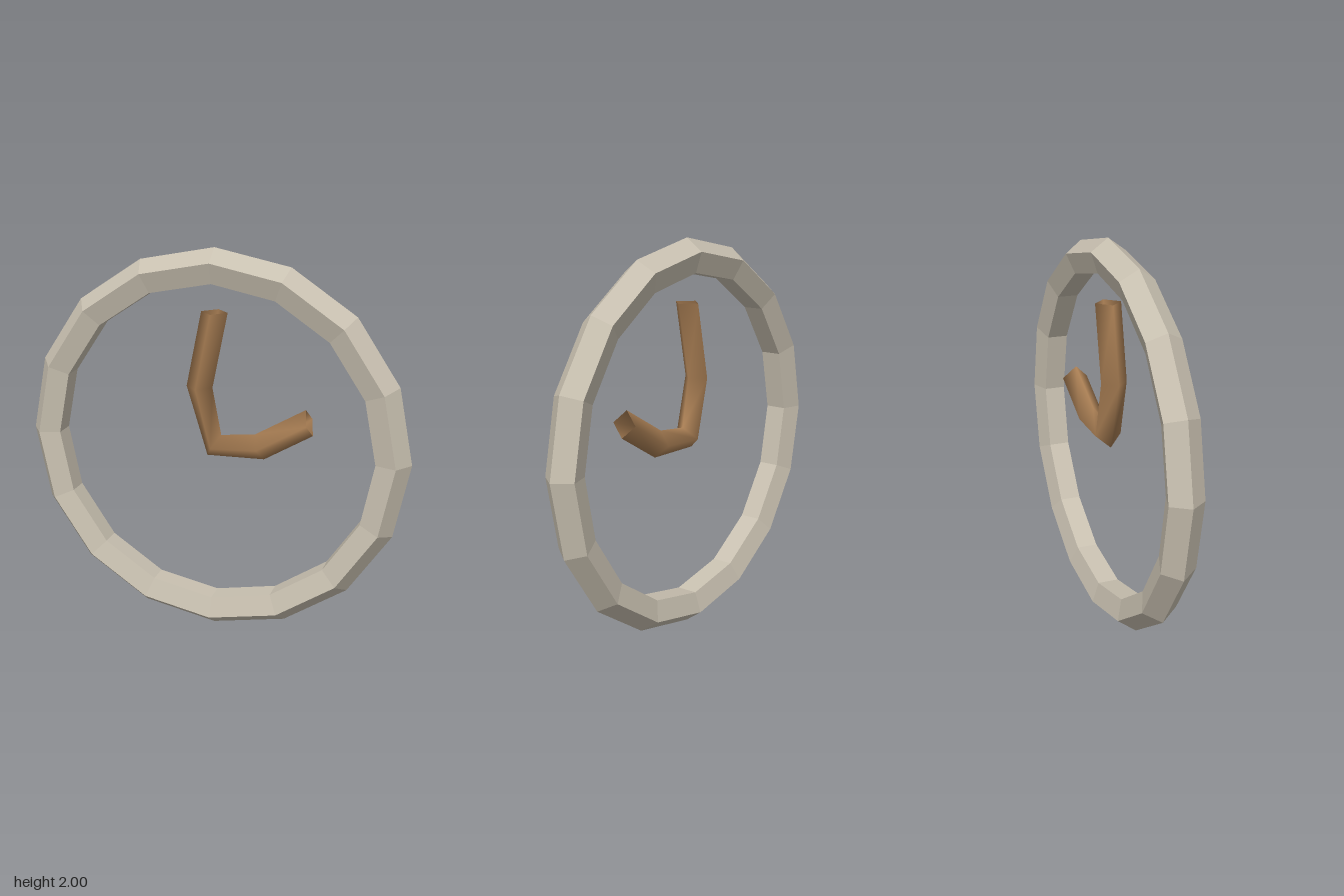
import * as THREE from 'three';

const rimMaterial = new THREE.MeshStandardMaterial({ color: 0xc8c0b0, flatShading: true });
rimMaterial.name = 'warm grey';
const handMaterial = new THREE.MeshStandardMaterial({ color: 0xa67c52, side: THREE.DoubleSide });
handMaterial.name = 'wood brown';

// Open tube in the XY plane through stations [x, y, tangentX, tangentY]
function bentTube(stations, radius, sides) {
  const positions = [], index = [];
  stations.forEach(([x, y, tx, ty], i) => {
    const len = Math.hypot(tx, ty);
    for (let j = 0; j < sides; j++) {
      const a = (j / sides) * Math.PI * 2;
      const c = (radius * Math.cos(a)) / len;
      positions.push(x - ty * c, y + tx * c, radius * Math.sin(a));
      if (i === stations.length - 1) continue;
      const k = (j + 1) % sides;
      const p = i * sides + j, q = i * sides + k;
      index.push(p, q, q + sides, p, q + sides, p + sides);
    }
  });
  const geometry = new THREE.BufferGeometry();
  geometry.setAttribute('position', new THREE.Float32BufferAttribute(positions, 3));
  geometry.setIndex(index);
  geometry.computeVertexNormals();
  return geometry;
}

export function createModel() {
  const model = new THREE.Group();
  model.name = 'clock';

  // Faceted rim with a five-sided section, pointed outward
  const rim = new THREE.Mesh(new THREE.TorusGeometry(0.907, 0.093, 5, 16), rimMaterial);
  rim.name = 'rim';
  rim.position.y = 1;
  model.add(rim);

  // Both hands as one bent four-sided tube, turning at the centre
  const hands = new THREE.Mesh(bentTube([
    [0, 1.685, 0, -1],
    [-0.078, 1.3, 0, -1],
    [0, 1, 0.84, -0.54],
    [0.238, 1.015, 0.94, 0.35],
    [0.489, 1.165, 0.96, 0.28],
  ], 0.068, 4), handMaterial);
  hands.name = 'hands';
  model.add(hands);

  return model;
}
